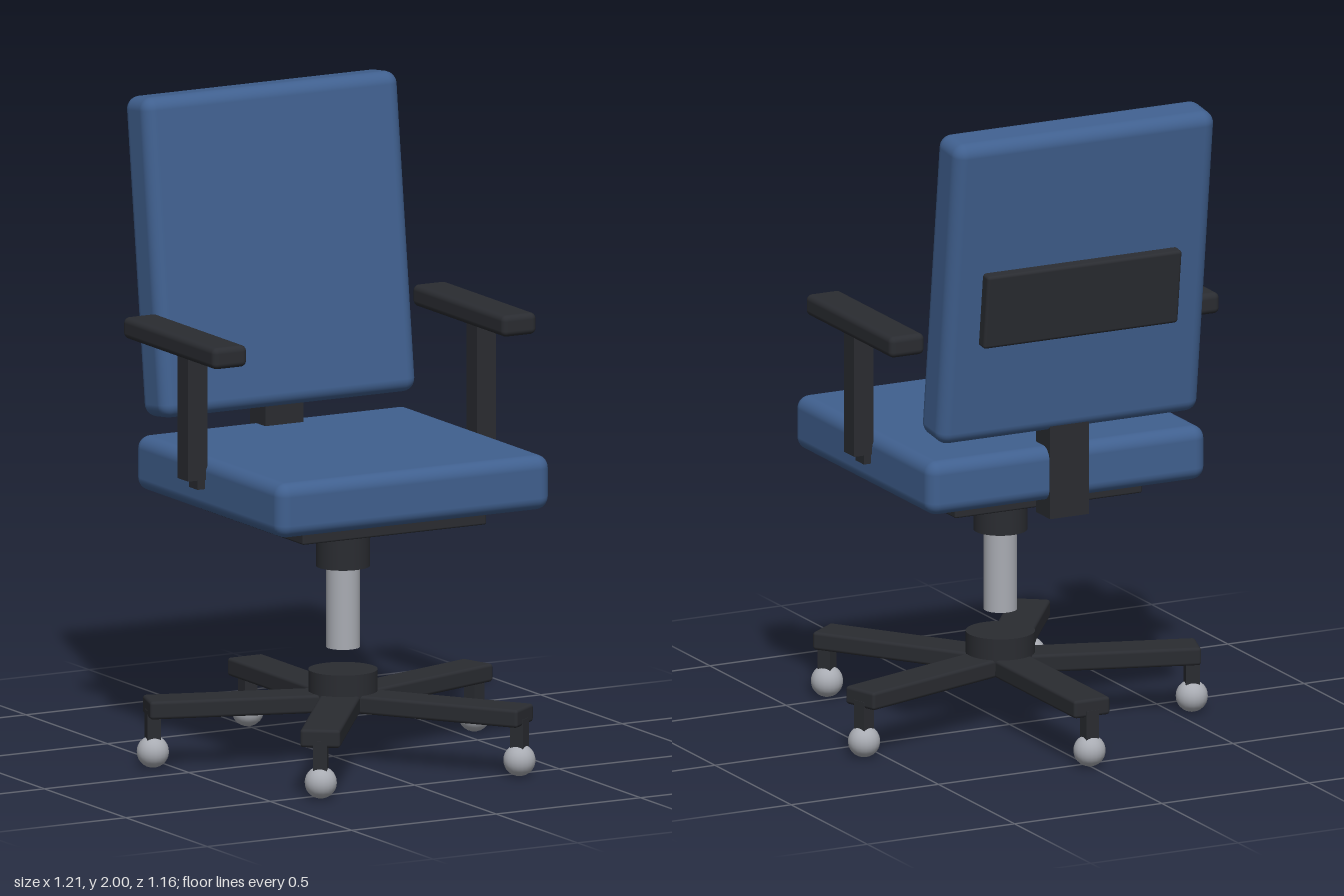
import * as THREE from 'three';
import { RoundedBoxGeometry } from 'three/addons/geometries/RoundedBoxGeometry.js';

const fabric = new THREE.MeshStandardMaterial({ color: 0x40608f });
const plastic = new THREE.MeshStandardMaterial({ color: 0x2a2c31 });
const metal = new THREE.MeshStandardMaterial({ color: 0xa9acb3 });

function add(parent, name, geometry, material, x, y, z) {
  const mesh = new THREE.Mesh(geometry, material);
  mesh.name = name;
  mesh.position.set(x, y, z);
  parent.add(mesh);
  return mesh;
}

const box = (w, h, d) => new THREE.BoxGeometry(w, h, d);
const softBox = (w, h, d, r, segments = 4) => new RoundedBoxGeometry(w, h, d, segments, r);
const cylinder = (r, h) => new THREE.CylinderGeometry(r, r, h, 32);

export function createModel() {
  const chair = new THREE.Group();
  chair.name = 'officeChair';
  const axisZ = 0.06; // the column stands slightly forward of the centre

  // Five-legged base, one leg pointing straight back
  const base = new THREE.Group();
  base.name = 'base';
  base.position.z = axisZ;
  chair.add(base);
  add(base, 'hub', cylinder(0.105, 0.1), plastic, 0, 0.232, 0);
  for (let i = 0; i < 5; i++) {
    const leg = new THREE.Group();
    leg.name = 'leg' + (i + 1);
    leg.rotation.y = (i * Math.PI * 2) / 5;
    add(leg, 'legBar', softBox(0.122, 0.056, 0.605, 0.01, 2), plastic, 0, 0.188, -0.3025);
    add(leg, 'casterStem', box(0.043, 0.12, 0.043), plastic, 0, 0.12, -0.585);
    add(leg, 'casterBall', new THREE.SphereGeometry(0.049, 20, 14), metal, 0, 0.051, -0.585);
    base.add(leg);
  }

  // Column and seat
  add(chair, 'gasColumn', cylinder(0.051, 0.27), metal, 0, 0.485, axisZ);
  add(chair, 'columnSleeve', cylinder(0.082, 0.17), plastic, 0, 0.685, axisZ);
  add(chair, 'seatPlate', softBox(0.636, 0.06, 0.636, 0.006, 2), plastic, 0, 0.78, axisZ);
  add(chair, 'seat', softBox(0.944, 0.168, 0.9, 0.04), fabric, 0, 0.887, axisZ);

  // Backrest leaning backwards, with its rear panel
  add(chair, 'backSupport', box(0.132, 0.35, 0.094), plastic, 0, 0.925, -0.347);
  const back = new THREE.Group();
  back.name = 'backrest';
  back.position.set(0, 1.512, -0.384);
  back.rotation.x = -0.122;
  chair.add(back);
  add(back, 'backCushion', softBox(0.884, 0.973, 0.147, 0.04), fabric, 0, 0, 0);
  add(back, 'backPanel', softBox(0.66, 0.235, 0.05, 0.01, 2), plastic, 0, -0.05, -0.083);

  // Armrests, mirrored
  for (const side of [1, -1]) {
    const arm = new THREE.Group();
    arm.name = side > 0 ? 'leftArmrest' : 'rightArmrest';
    add(arm, 'armPad', softBox(0.118, 0.066, 0.565, 0.018), plastic, side * 0.501, 1.324, -0.021);
    add(arm, 'armPost', box(0.066, 0.39, 0.066), plastic, side * 0.5, 1.105, 0.022);
    add(arm, 'armBracket', box(0.12, 0.056, 0.054), plastic, side * 0.437, 0.908, 0.022);
    chair.add(arm);
  }

  return chair;
}
